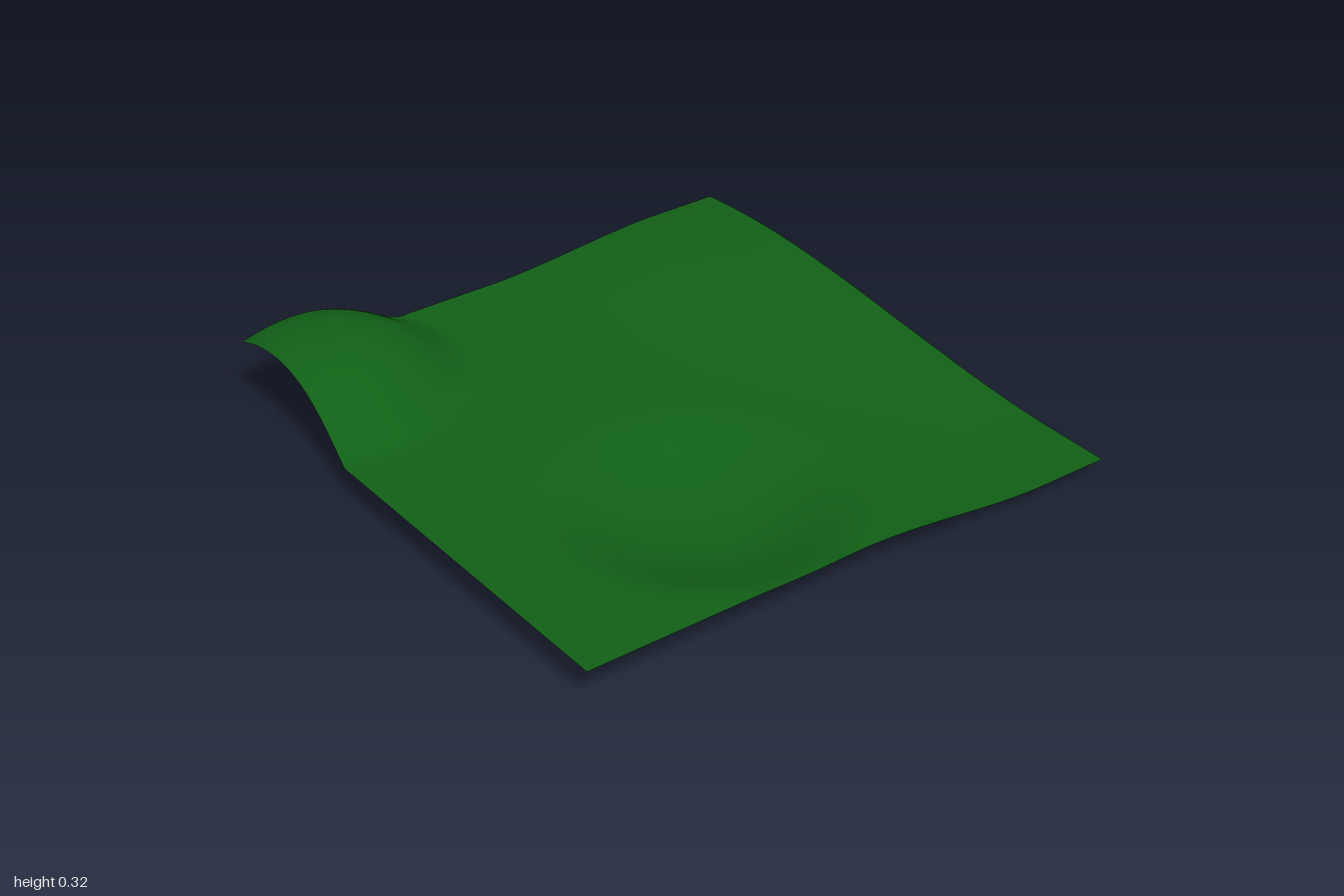
import * as THREE from 'three';

const BASE = 0.12;
const { smoothstep } = THREE.MathUtils;

// Rounded bump: 1 at its centre, 0 from the given radius outwards
function bump(x, z, cx, cz, radius) {
  const r = Math.min(Math.hypot(x - cx, z - cz) / radius, 1);
  return (1 - r ** 2.5) ** 2;
}

// Gentle wave across the left side: up at the back, down at the front
function wave(x, z) {
  const along = z > 0 ? Math.sin(Math.min(z / 0.8, 1) * Math.PI / 2) : Math.sin(z / 0.7 * Math.PI / 2);
  return -0.065 * smoothstep(x, 0, 0.75) * along;
}

export function createModel() {
  const group = new THREE.Group();
  group.name = 'terrain';

  // Flat sheet, shaped by one hill, one hollow and the wave
  const geometry = new THREE.PlaneGeometry(2, 2, 80, 80).rotateX(-Math.PI / 2);
  const pos = geometry.attributes.position;
  for (let i = 0; i < pos.count; i++) {
    const x = pos.getX(i), z = pos.getZ(i);
    const hill = bump(x, z, -0.815, -0.79, 0.53);
    const hollow = bump(x, z, -0.21, 0.5, 0.54);
    const y = BASE + 0.197 * hill - 0.12 * hollow + wave(x, z);

    // The raised parts pull the border inwards a little
    const pull = 0.037 * hill ** 0.4;
    const pullRight = smoothstep(x, 0.3, 1) * (0.01 + 0.018 * smoothstep(-z, -0.3, 0.6));
    pos.setXYZ(i, x + pull - pullRight, y, z + pull);
  }
  geometry.computeVertexNormals();

  const material = new THREE.MeshStandardMaterial({ color: 0x116016, side: THREE.DoubleSide });
  const ground = new THREE.Mesh(geometry, material);
  ground.name = 'grassGround';
  group.add(ground);
  return group;
}
